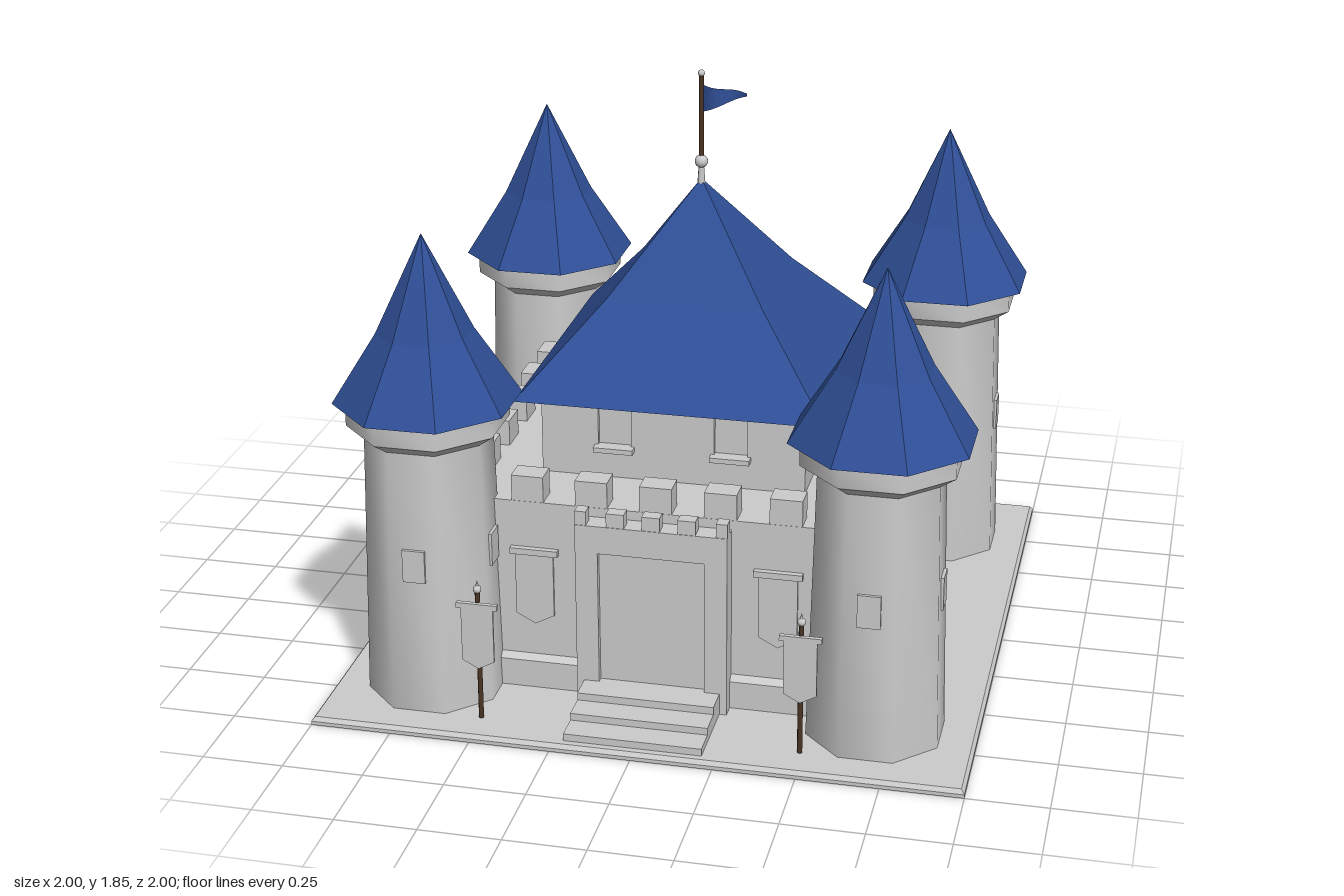
import * as THREE from 'three';
import { toCreasedNormals } from 'three/addons/utils/BufferGeometryUtils.js';

const stone = new THREE.MeshStandardMaterial({ color: 0xcccccc });
const blue = new THREE.MeshStandardMaterial({ color: 0x2f4f96, flatShading: true });
const flagBlue = new THREE.MeshStandardMaterial({ color: 0x2f4f96, side: THREE.DoubleSide });
const wood = new THREE.MeshStandardMaterial({ color: 0x4a3423 });

function add(parent, name, geometry, material = stone, x = 0, y = 0, z = 0) {
  const mesh = new THREE.Mesh(geometry, material);
  mesh.name = name;
  mesh.position.set(x, y, z);
  parent.add(mesh);
  return mesh;
}

// Box given by centre x/z, bottom and top
function block(parent, name, w, d, y0, y1, x = 0, z = 0) {
  return add(parent, name, new THREE.BoxGeometry(w, y1 - y0, d), stone, x, (y0 + y1) / 2, z);
}

// Regular prism-like solid with flats facing the axes; profile is [half width, y] pairs
function faceted(profile, sides) {
  const k = 1 / Math.cos(Math.PI / sides);
  const pts = profile.map(([r, y]) => new THREE.Vector2(r * k, y));
  return new THREE.LatheGeometry(pts, sides, Math.PI / sides);
}

// Wall facing with rectangular holes, each hole [x0, y0, x1, y1]
function facing(x0, y0, x1, y1, depth, holes) {
  const rect = (path, a, b, c, d) => path.moveTo(a, b).lineTo(c, b).lineTo(c, d).lineTo(a, d).closePath();
  const shape = rect(new THREE.Shape(), x0, y0, x1, y1);
  for (const h of holes) shape.holes.push(rect(new THREE.Path(), ...h));
  return new THREE.ExtrudeGeometry(shape, { depth, bevelEnabled: false });
}

function tower(x, z) {
  const g = new THREE.Group();
  g.name = 'cornerTower';
  g.position.set(x, 0, z);
  const body = [[0, 0.025], [0.2, 0.025], [0.18, 0.875], [0.228, 0.912], [0.228, 0.985], [0, 0.985]];
  add(g, 'towerBody', toCreasedNormals(faceted(body, 8), 0.8));
  add(g, 'towerRoof', faceted([[0, 0.98], [0.264, 0.985], [0.136, 1.2], [0, 1.505]], 8), blue);
  // Small raised windows on two faces
  block(g, 'towerWindow', 0.07, 0.05, 0.46, 0.565, 0, 0.172);
  block(g, 'towerWindow', 0.05, 0.07, 0.46, 0.565, 0.172, 0);
  return g;
}

// Hanging cloth with a pointed bottom edge
function cloth(w, top, corner, tip) {
  const s = new THREE.Shape();
  s.moveTo(-w / 2, top).lineTo(-w / 2, corner).lineTo(0, tip).lineTo(w / 2, corner).lineTo(w / 2, top).closePath();
  return new THREE.ExtrudeGeometry(s, { depth: 0.008, bevelEnabled: false });
}

function standingBanner(x) {
  const g = new THREE.Group();
  g.name = 'standingBanner';
  g.position.set(x, 0, 0.885);
  add(g, 'bannerPole', new THREE.CylinderGeometry(0.008, 0.008, 0.43, 8), wood, 0, 0.24, 0);
  add(g, 'bannerFinial', new THREE.SphereGeometry(0.013, 10, 8), stone, 0, 0.46, 0);
  add(g, 'bannerFinialTip', new THREE.ConeGeometry(0.007, 0.025, 8), stone, 0, 0.477, 0);
  block(g, 'bannerBar', 0.128, 0.014, 0.4, 0.417, 0, 0.01);
  add(g, 'bannerCloth', cloth(0.1, 0.41, 0.225, 0.198), stone, 0, 0, 0.006);
  return g;
}

// Pennant tapering to a tip, waved in depth
function pennant() {
  const geo = new THREE.PlaneGeometry(1, 1, 10, 2);
  const p = geo.attributes.position;
  for (let i = 0; i < p.count; i++) {
    const t = p.getX(i) + 0.5;
    const y = 1.785 + 0.02 * (1 - t) + (p.getY(i) - 0.5) * 0.085 * (1 - 0.9 * t);
    p.setXYZ(i, 0.006 + 0.137 * t, y, 0.014 * Math.sin(t * Math.PI * 2));
  }
  geo.computeVertexNormals();
  return geo;
}

export function createModel() {
  const castle = new THREE.Group();
  castle.name = 'castle';

  // Ground slab with a slightly sloped rim
  add(castle, 'baseSlab', toCreasedNormals(faceted([[0, 0], [1, 0], [1, 0.012], [0.99, 0.025], [0, 0.025]], 4), 0.3));

  for (const x of [-0.69, 0.69]) for (const z of [-0.69, 0.69]) castle.add(tower(x, z));

  // Curtain wall: core, sloped plinth and merlons on all sides
  block(castle, 'curtainWall', 1.27, 1.27, 0.025, 0.65);
  const plinth = [[0, 0.025], [0.668, 0.025], [0.668, 0.115], [0.648, 0.132], [0, 0.132]];
  add(castle, 'wallPlinth', toCreasedNormals(faceted(plinth, 4), 0.3));
  const wallWindows = [-0.31, 0, 0.31];
  for (let side = 0; side < 4; side++) {
    const g = new THREE.Group();
    g.name = 'wallSide';
    g.rotation.y = side * Math.PI / 2;
    castle.add(g);
    const holes = side === 1 ? wallWindows.map(x => [x - 0.06, 0.29, x + 0.06, 0.45]) : [];
    add(g, 'wallFace', facing(-0.6, 0.025, 0.6, 0.65, 0.013, holes), stone, 0, 0, 0.635);
    if (side === 1) for (const x of wallWindows) block(g, 'wallWindowSill', 0.135, 0.035, 0.277, 0.291, x, 0.658);
    for (let i = -2; i <= 2; i++) block(g, 'merlon', 0.1, 0.076, 0.65, 0.733, i * 0.2, 0.609);

    // Keep face with two recessed windows and their sills
    const keepHoles = [-0.183, 0.183].map(x => [x - 0.052, 0.755, x + 0.052, 0.875]);
    add(g, 'keepFace', facing(-0.415, 0.65, 0.415, 0.905, 0.015, keepHoles), stone, 0, 0, 0.4);
    for (const x of [-0.183, 0.183]) block(g, 'keepWindowSill', 0.125, 0.05, 0.74, 0.756, x, 0.42);
  }

  // Central keep and its flared square roof
  block(castle, 'keepCore', 0.8, 0.8, 0.65, 0.905);
  add(castle, 'keepRoof', faceted([[0, 0.9], [0.485, 0.905], [0.245, 1.175], [0, 1.505]], 4), blue);

  // Roof finial, pole and flag
  add(castle, 'roofSpike', new THREE.CylinderGeometry(0.008, 0.013, 0.07, 8), stone, 0, 1.52, 0);
  add(castle, 'roofBall', new THREE.SphereGeometry(0.021, 14, 10), stone, 0, 1.56, 0);
  add(castle, 'flagPole', new THREE.CylinderGeometry(0.008, 0.008, 0.27, 8), wood, 0, 1.7, 0);
  add(castle, 'flagPoleBall', new THREE.SphereGeometry(0.011, 10, 8), stone, 0, 1.842, 0);
  add(castle, 'flag', pennant(), flagBlue);

  // Gatehouse with a recessed door and small merlons
  block(castle, 'gateCore', 0.47, 0.07, 0.025, 0.62, 0, 0.66);
  add(castle, 'gateFrame', facing(-0.235, 0.025, 0.235, 0.62, 0.02, [[-0.165, 0.03, 0.165, 0.53]]), stone, 0, 0, 0.695);
  for (let i = -2; i <= 2; i++) {
    const end = Math.abs(i) === 2;
    block(castle, 'gateMerlon', end ? 0.035 : 0.055, 0.042, 0.62, 0.665, end ? Math.sign(i) * 0.2175 : i * 0.11, 0.692);
  }

  // Steps
  [[0.97, 0.048], [0.885, 0.071], [0.8, 0.095]].forEach(([front, top]) =>
    block(castle, 'step', 0.425, front - 0.69, 0.025, top, 0, (front + 0.69) / 2));

  // Banners on the wall and on poles, mirrored
  for (const s of [-1, 1]) {
    block(castle, 'wallBannerBar', 0.15, 0.02, 0.478, 0.498, s * 0.38, 0.657);
    add(castle, 'wallBanner', cloth(0.12, 0.49, 0.275, 0.243), stone, s * 0.38, 0, 0.652);
    castle.add(standingBanner(s * 0.493));
  }
  return castle;
}
